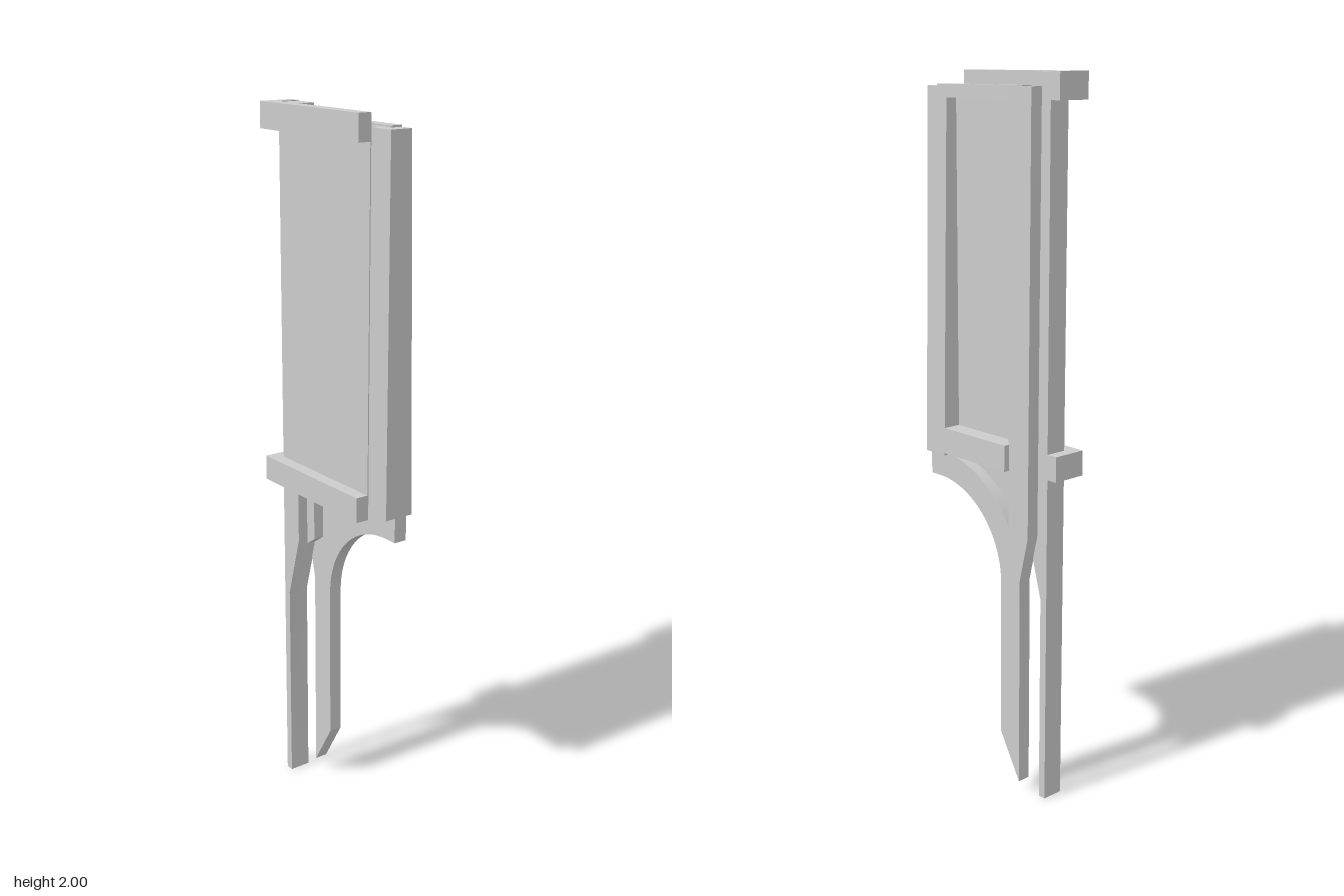
import * as THREE from 'three';
import { toCreasedNormals } from 'three/addons/utils/BufferGeometryUtils.js';

const material = new THREE.MeshStandardMaterial({ color: 0xcccccc, side: THREE.DoubleSide });

export function createModel() {
  const model = new THREE.Group();
  model.name = 'panelAssembly';

  const add = (name, geometry) => {
    const mesh = new THREE.Mesh(geometry, material);
    mesh.name = name;
    model.add(mesh);
    return mesh;
  };

  // Box given by its limits on each axis
  const box = (name, [x0, x1], [y0, y1], [z0, z1]) =>
    add(name, new THREE.BoxGeometry(x1 - x0, y1 - y0, z1 - z0)
      .translate((x0 + x1) / 2, (y0 + y1) / 2, (z0 + z1) / 2));

  // Side profile (horizontal axis is -z), extruded along x
  const sideProfile = (name, shape, x0, x1) => {
    const g = new THREE.ExtrudeGeometry(shape, { depth: x1 - x0, bevelEnabled: false, curveSegments: 32 });
    g.rotateY(Math.PI / 2).translate(x0, 0, 0);
    return add(name, toCreasedNormals(g, 0.5));
  };
  const polygon = (points) => new THREE.Shape(points.map(([x, y]) => new THREE.Vector2(x, y)));

  // Bar whose outer face leans outward toward the bottom
  const outerX = (y) => 0.055 + (1.96 - y) * 0.021;
  const leaningBar = (name, x0, [y0, y1], [z0, z1]) => {
    const shape = polygon([[x0, y0], [outerX(y0), y0], [outerX(y1), y1], [x0, y1]]);
    const g = new THREE.ExtrudeGeometry(shape, { depth: z1 - z0, bevelEnabled: false });
    return add(name, g.translate(0, 0, z0));
  };

  // Rear post: slim leg that flares into the wider upper section
  sideProfile('rearPost', polygon([
    [0.203, 0], [0.203, 1.998], [0.13, 1.998], [0.13, 0.78], [0.18, 0.6], [0.18, 0],
  ]), -0.04, 0.022);

  // Strip joining the post to the frame
  sideProfile('postStrip', polygon([
    [0.13, 0.765], [0.13, 1.96], [0.095, 1.96], [0.095, 0.79],
  ]), -0.01, 0.022);

  // Arched leg with its upright
  const leg = new THREE.Shape();
  leg.moveTo(-0.235, 0.88);
  leg.lineTo(-0.197, 0.88);
  leg.absarc(-0.197, 0.623, 0.257, Math.PI / 2, 0, true);
  leg.lineTo(0.06, 0.17);
  leg.lineTo(0.135, 0.04);
  leg.lineTo(0.135, 0.65);
  leg.lineTo(0.166, 0.78);
  leg.lineTo(0.171, 1.963);
  leg.lineTo(0.09, 1.963);
  leg.lineTo(0.09, 0.796);
  leg.absarc(-0.195, 0.62, 0.335, 0.555, Math.PI / 2, false);
  leg.lineTo(-0.235, 0.955);
  sideProfile('archedLeg', leg, 0.02, 0.058);

  // Frame around the recessed panel
  leaningBar('frontStile', -0.01, [0.95, 1.96], [0.157, 0.235]);
  leaningBar('topFrameRail', 0.022, [1.93, 1.965], [-0.133, 0.195]);
  leaningBar('bottomFrameRail', 0.018, [0.957, 1.03], [-0.092, 0.16]);
  box('recessedPanel', [0.018, 0.022], [0.96, 1.96], [-0.1, 0.16]);

  // Thin infill between the arch and the bottom rail
  const infill = new THREE.Shape();
  infill.moveTo(0.095, 0.96);
  infill.lineTo(0.095, 0.78);
  infill.absarc(-0.195, 0.62, 0.33, 0.555, Math.PI / 2, false);
  infill.lineTo(-0.195, 0.96);
  sideProfile('archInfill', infill, 0.02, 0.024);

  // Flat backing sheet held by two rails that hook around the post
  box('backSheet', [-0.042, -0.039], [0.95, 1.998], [-0.2, 0.195]);
  for (const [name, y0] of [['lower', 0.948], ['upper', 1.93]]) {
    const y = [y0, y0 + 0.07];
    box(name + 'Rail', [-0.078, -0.04], y, [-0.235, 0.195]);
    box(name + 'RailHook', [-0.04, 0.022], y, [-0.235, -0.2]);
  }

  return model;
}
